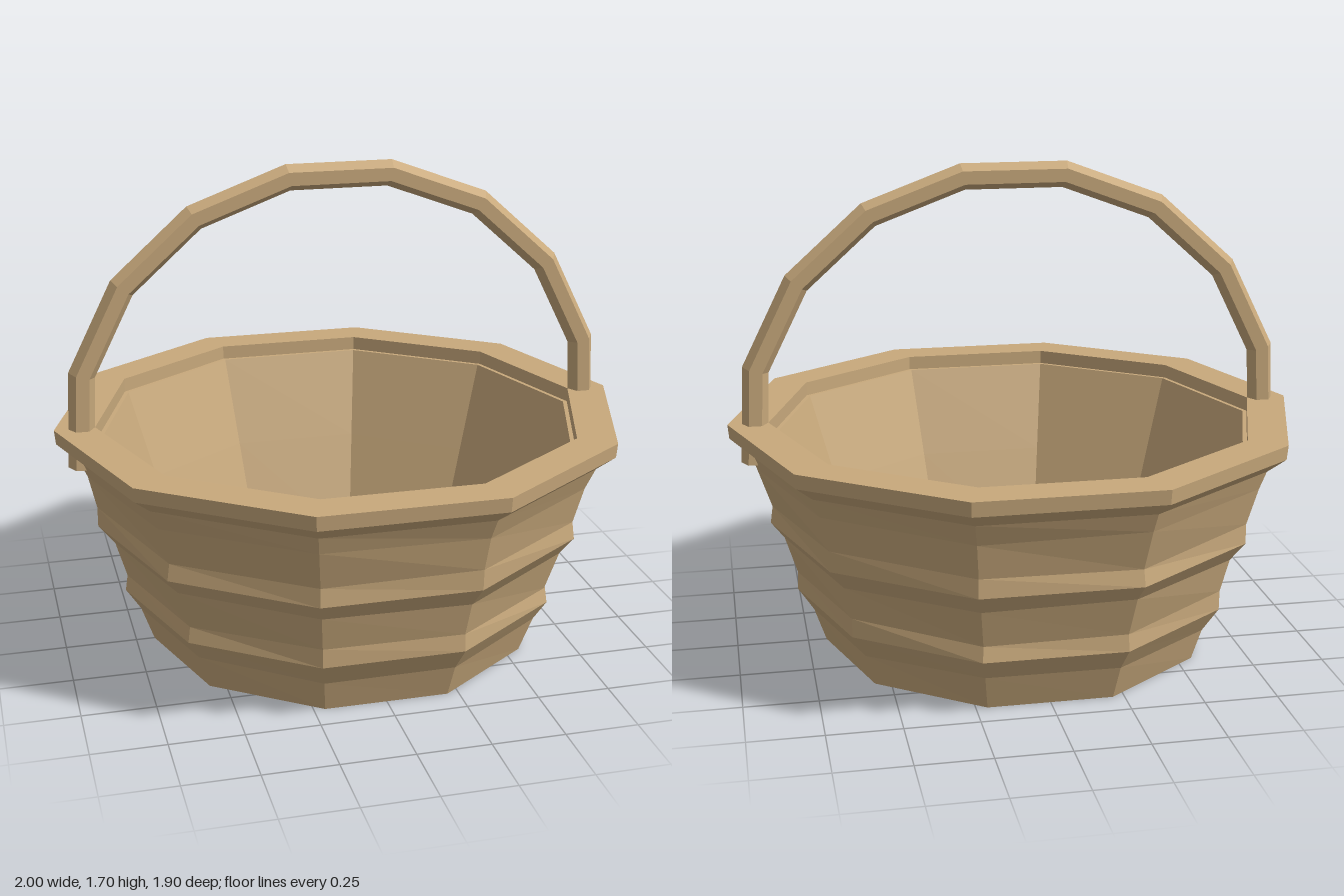
import * as THREE from 'three';

const SIDES = 10;

// Per-face normals for the faceted look
function faceted(geometry) {
  const flat = geometry.index ? geometry.toNonIndexed() : geometry;
  flat.computeVertexNormals();
  return flat;
}

// Ten-sided turned shape with a corner on the x axis
function turned(profile) {
  const points = profile.map(([r, y]) => new THREE.Vector2(r, y));
  return new THREE.LatheGeometry(points, SIDES, Math.PI / 2);
}

// Prism swept along a path in the xy plane, with mitred joints and closed ends
function sweep(path, radius, sides) {
  const positions = [];
  const index = [];
  const n = path.length;
  const dir = (a, b) => new THREE.Vector2().subVectors(path[b], path[a]).normalize();
  path.forEach((p, i) => {
    const before = dir(Math.max(i - 1, 0), Math.max(i, 1));
    const after = dir(Math.min(i, n - 2), Math.min(i + 1, n - 1));
    const t = before.clone().add(after).normalize();
    const mitre = radius / t.dot(before);
    for (let k = 0; k < sides; k++) {
      const a = (k / sides) * Math.PI * 2;
      const out = Math.cos(a) * mitre;
      positions.push(p.x - t.y * out, p.y + t.x * out, Math.sin(a) * radius);
    }
  });
  for (let i = 0; i < n - 1; i++) {
    for (let k = 0; k < sides; k++) {
      const a = i * sides + k;
      const b = i * sides + ((k + 1) % sides);
      index.push(a, b, a + sides, b, b + sides, a + sides);
    }
  }
  const last = (n - 1) * sides;
  for (let k = 1; k < sides - 1; k++) {
    index.push(0, k + 1, k, last, last + k, last + k + 1);
  }
  const geometry = new THREE.BufferGeometry();
  geometry.setAttribute('position', new THREE.Float32BufferAttribute(positions, 3));
  geometry.setIndex(index);
  return geometry;
}

export function createModel() {
  const wicker = new THREE.MeshStandardMaterial({ color: 0xc8a97c });
  wicker.name = 'wicker';
  const basket = new THREE.Group();
  basket.name = 'basket';
  const add = (name, geometry) => {
    const mesh = new THREE.Mesh(faceted(geometry), wicker);
    mesh.name = name;
    basket.add(mesh);
  };

  // Woven body: ridged outside, plain sloping inside, raised floor
  const bodyGeometry = turned([
    [0, 0], [0.685, 0], [0.727, 0.12], [0.78, 0.2], [0.775, 0.26],
    [0.815, 0.39], [0.866, 0.455], [0.862, 0.52], [0.9, 0.65], [0.93, 0.72],
    [0.9, 0.77], [0.845, 0.77], [0.74, 0.45], [0.61, 0.05], [0, 0.05],
  ]);
  // Slight over-and-under waviness of the narrow weave rings
  const pos = bodyGeometry.attributes.position;
  const wavyRings = [2, 4, 5, 7, 8];
  const ringCount = 15;
  for (let i = 0; i < pos.count; i++) {
    const ring = i % ringCount;
    if (!wavyRings.includes(ring)) continue;
    const corner = Math.floor(i / ringCount) % SIDES;
    const wave = Math.sin(corner * Math.PI * 0.6 + ring * 1.7);
    const scale = 1 + 0.008 * wave;
    pos.setXYZ(i, pos.getX(i) * scale, pos.getY(i) + 0.008 * wave, pos.getZ(i) * scale);
  }
  add('body', bodyGeometry);

  // Flat-topped rim with a bevelled underside
  add('rim', turned([
    [0.86, 0.765], [0.92, 0.712], [0.995, 0.77], [1, 0.82], [0.86, 0.82], [0.86, 0.765],
  ]));

  // Six-sided arched handle, mirrored from one half
  const half = [[0.912, 0.68], [0.897, 1.01], [0.75, 1.305], [0.5, 1.53], [0.177, 1.65]];
  const path = [
    ...half.map(([x, y]) => new THREE.Vector2(-x, y)),
    ...half.slice().reverse().map(([x, y]) => new THREE.Vector2(x, y)),
  ];
  add('handle', sweep(path, 0.045, 6));

  return basket;
}
